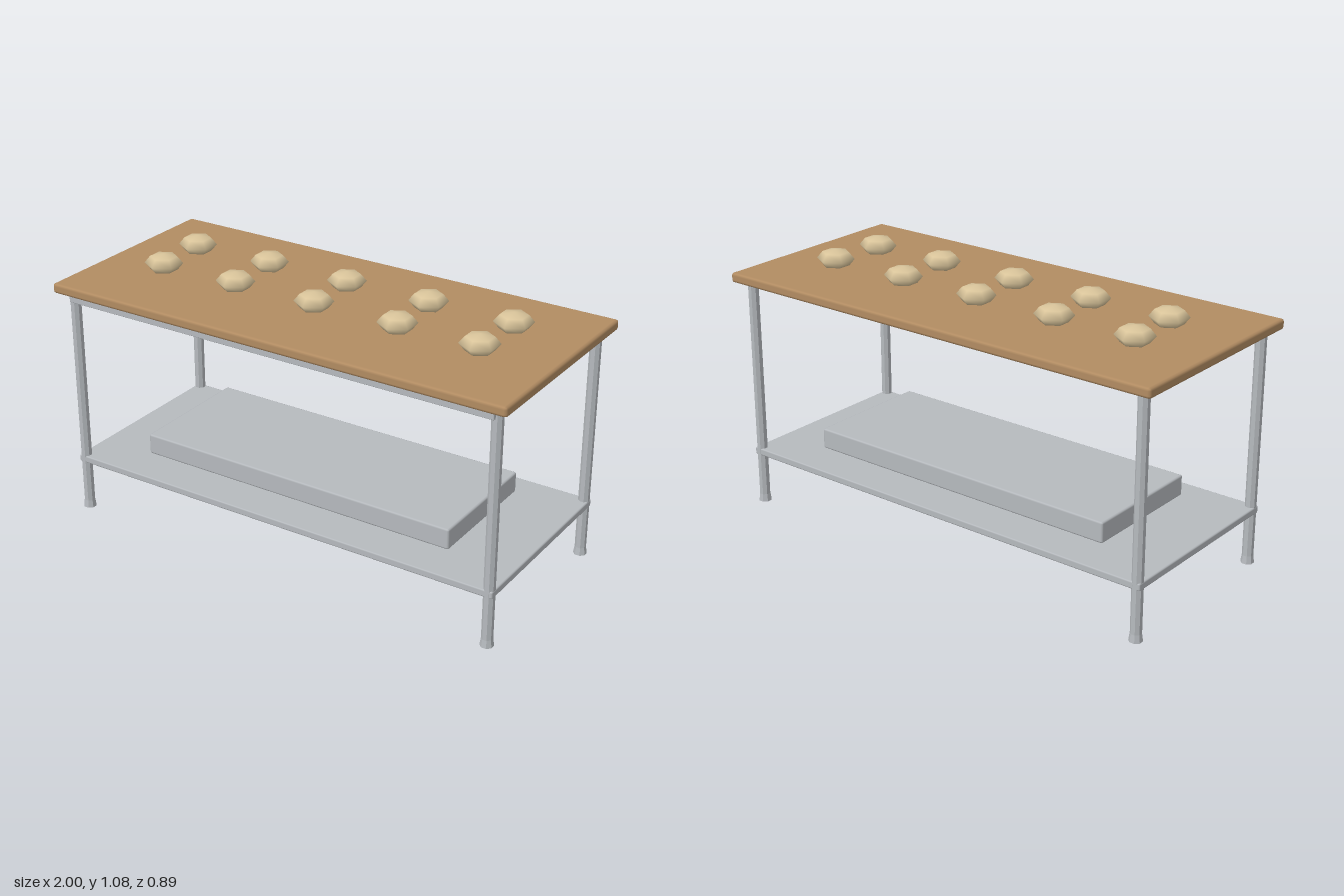
import * as THREE from 'three';
import { RoundedBoxGeometry } from 'three/addons/geometries/RoundedBoxGeometry.js';

export function createModel() {
  const group = new THREE.Group();
  const material = (name, color) => {
    const m = new THREE.MeshStandardMaterial({ color });
    m.name = name;
    return m;
  };
  const wood = material('wood', 0xb28c62);
  const steel = material('steel', 0xb6babe);
  const dough = material('dough', 0xd9c49a);
  const flatSteel = steel; // legs get split normals instead of a second material

  const add = (name, geometry, mat, x, y, z) => {
    const mesh = new THREE.Mesh(geometry, mat);
    mesh.name = name;
    mesh.position.set(x, y, z);
    group.add(mesh);
    return mesh;
  };
  const slab = (name, w, h, d, bevel, mat, y, z = 0) =>
    add(name, new RoundedBoxGeometry(w, h, d, 1, bevel), mat, 0, y, z);

  // Eight-sided tube with a flat side facing outwards
  const octagon = (top, bottom, height) => {
    const g = new THREE.CylinderGeometry(top, bottom, height, 8).rotateY(Math.PI / 8).toNonIndexed();
    g.computeVertexNormals();
    return g;
  };

  // Worktop, front rail, lower shelf and the tray floating just above it
  slab('worktop', 2, 0.042, 0.892, 0.012, wood, 0.981);
  slab('frontRail', 1.88, 0.034, 0.018, 0.003, steel, 0.944, 0.411);
  slab('lowerShelf', 1.92, 0.03, 0.812, 0.006, steel, 0.226);
  slab('tray', 1.4, 0.086, 0.536, 0.008, steel, 0.304);

  // Legs with flared feet
  const legGeometry = octagon(0.0225, 0.0225, 0.935);
  const footGeometry = octagon(0.0225, 0.027, 0.032);
  for (const x of [-0.938, 0.938]) {
    for (const z of [-0.386, 0.386]) {
      add('leg', legGeometry, flatSteel, x, 0.4975, z);
      add('foot', footGeometry, flatSteel, x, 0.016, z);
    }
  }

  // Two rows of dough pieces with a corner pointing to the front
  const doughGeometry = new THREE.SphereGeometry(0.077, 6, 4).rotateY(Math.PI / 2).scale(1, 0.5, 1);
  const rows = [
    { z: -0.133, xs: [-0.725, -0.37, -0.005, 0.36, 0.72] },
    { z: 0.107, xs: [-0.712, -0.362, 0.002, 0.368, 0.71] },
  ];
  for (const { z, xs } of rows) {
    for (const x of xs) add('doughPiece', doughGeometry, dough, x, 1.039, z);
  }
  return group;
}
